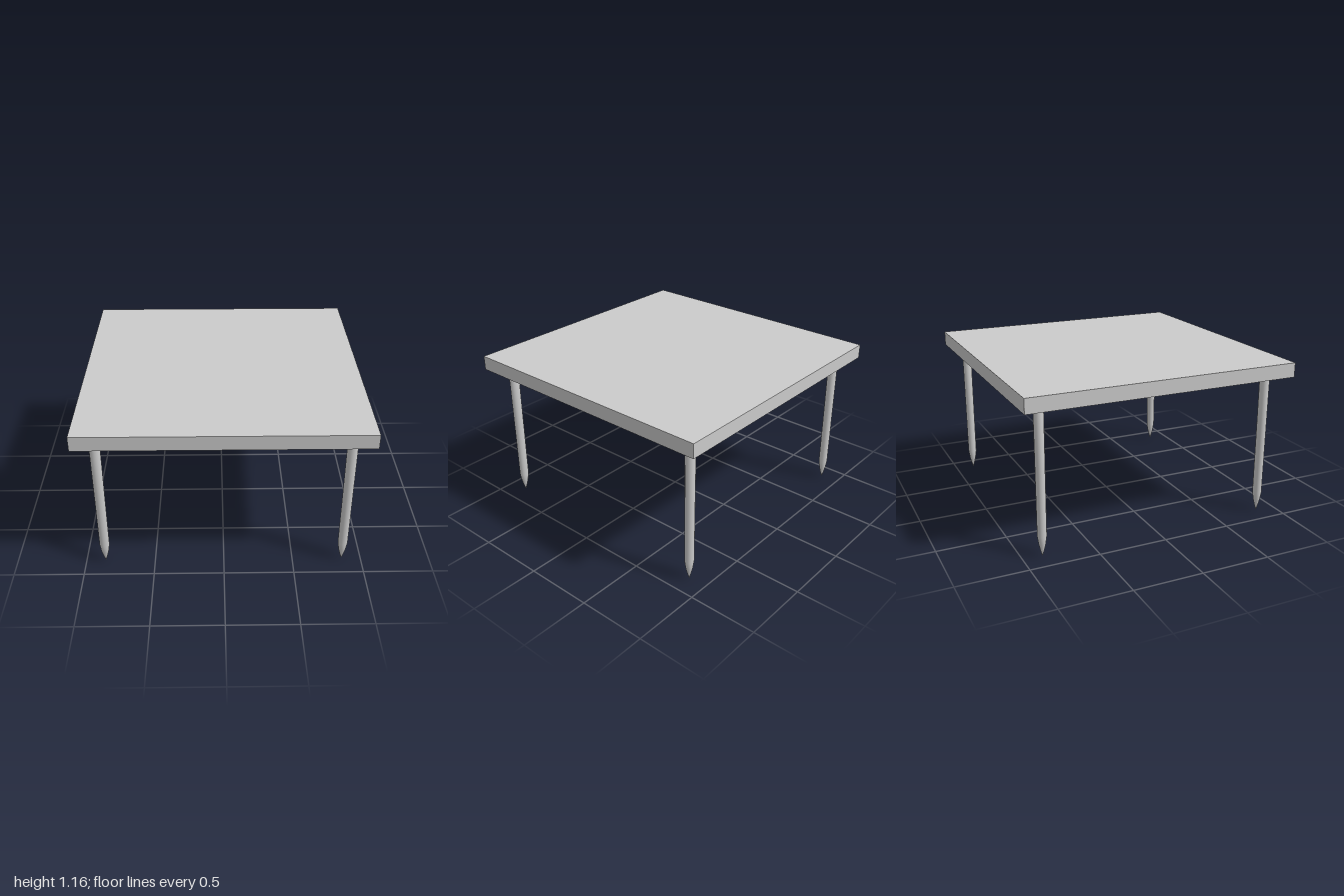
import * as THREE from 'three';

export function createModel() {
  const model = new THREE.Group();
  const material = new THREE.MeshStandardMaterial({ color: 0xcccccc });

  // Square slab top
  const top = new THREE.Mesh(new THREE.BoxGeometry(2, 0.105, 2), material);
  top.name = 'tableTop';
  top.position.y = 1.1175;
  model.add(top);

  // Round stake leg, sharpened to a slightly bowed point at the foot
  const profile = [
    [0, 0.005], [0.013, 0.045], [0.026, 0.095], [0.0355, 0.155],
    [0.0365, 0.6], [0.038, 1.065], [0, 1.065],
  ].map(([r, y]) => new THREE.Vector2(r, y));
  const legGeometry = new THREE.LatheGeometry(profile, 16);
  legGeometry.scale(1, 1, 0.91);

  // One leg near each corner
  for (const [side, x] of [['Left', 0.86], ['Right', -0.86]]) {
    for (const [end, z] of [['front', 0.85], ['back', -0.862]]) {
      const leg = new THREE.Mesh(legGeometry, material);
      leg.name = `${end}${side}Leg`;
      leg.position.set(x, 0, z);
      model.add(leg);
    }
  }

  return model;
}
